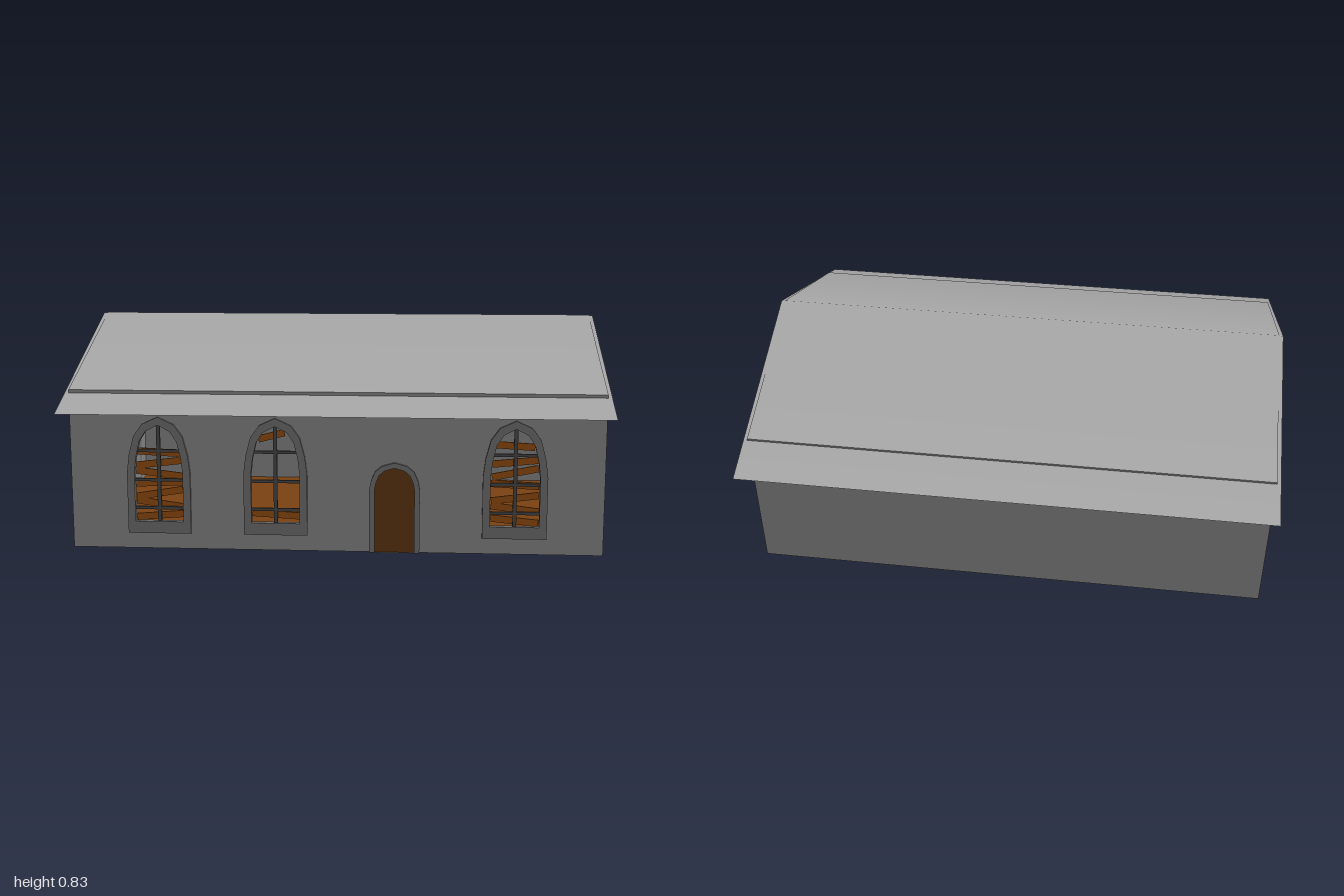
import * as THREE from 'three';

const paint = color => new THREE.MeshStandardMaterial({ color, side: THREE.DoubleSide });
const wallStone = paint(0x828282);
const roofSlate = paint(0xaaaaaa);
const frameStone = paint(0x6c6c6c);
const barMetal = paint(0x444444);
const plankWood = paint(0x8e4b10);
const floorWood = paint(0x7d4213);
const doorWood = paint(0x5b3410);

const WX = 0.985, ZF = 0.61, ZB = -0.6, RIDGE_Z = 0.005, RIDGE_Y = 0.83, EAVE_Y = 0.598;

function add(parent, name, geometry, material, x = 0, y = 0, z = 0) {
  const mesh = new THREE.Mesh(geometry, material);
  mesh.name = name;
  mesh.position.set(x, y, z);
  parent.add(mesh);
  return mesh;
}

// Points of a pointed arch opening
function archPoints(half, bottom, spring, top, cx = 0) {
  const curve = [[1, 0], [0.93, 0.32], [0.77, 0.66], [0.5, 0.87]];
  const at = ([u, v], s) => new THREE.Vector2(cx + s * u * half, spring + v * (top - spring));
  return [
    new THREE.Vector2(cx - half, bottom), new THREE.Vector2(cx + half, bottom),
    ...curve.map(p => at(p, 1)), new THREE.Vector2(cx, top),
    ...curve.slice().reverse().map(p => at(p, -1)),
  ];
}

function frameGeometry(outer, inner, depth) {
  const shape = new THREE.Shape(outer);
  shape.holes.push(new THREE.Path(inner));
  return new THREE.ExtrudeGeometry(shape, { depth, bevelEnabled: false });
}

// Two slopes meeting at the ridge, shaded smoothly across it
function slopes(halfX, ridgeY, eaveY, zBack, zFront) {
  const position = [], normal = [];
  const tilt = (ridgeY - eaveY) / (zFront - RIDGE_Z);
  for (const [y, z, nz] of [[eaveY, zBack, -tilt], [ridgeY, RIDGE_Z, 0], [eaveY, zFront, tilt]]) {
    const n = new THREE.Vector3(0, 1, nz).normalize();
    for (const x of [-halfX, halfX]) {
      position.push(x, y, z);
      normal.push(n.x, n.y, n.z);
    }
  }
  const g = new THREE.BufferGeometry();
  g.setAttribute('position', new THREE.Float32BufferAttribute(position, 3));
  g.setAttribute('normal', new THREE.Float32BufferAttribute(normal, 3));
  g.setIndex([0, 2, 1, 1, 2, 3, 2, 4, 3, 3, 4, 5]);
  return g;
}

// Arched window with bars; planks are [y, tilt, x offset, length]
function makeWindow(x, planks) {
  const group = new THREE.Group();
  group.name = 'window';
  group.position.set(x, 0, ZF);
  add(group, 'windowFrame', frameGeometry(
    archPoints(0.118, 0.06, 0.29, 0.5), archPoints(0.09, 0.105, 0.29, 0.47), 0.023), frameStone, 0, 0, -0.013);
  add(group, 'verticalBar', new THREE.BoxGeometry(0.014, 0.365, 0.008), barMetal, 0, 0.287, -0.002);
  for (const y of [0.155, 0.262, 0.372])
    add(group, 'crossBar', new THREE.BoxGeometry(y > 0.3 ? 0.16 : 0.18, 0.011, 0.008), barMetal, 0, y, -0.002);
  for (const [y, tilt, dx, length] of planks) {
    const plank = add(group, 'plank', new THREE.BoxGeometry(length, 0.026, 0.006), plankWood, dx, y, -0.01);
    plank.rotation.z = tilt;
  }
  return group;
}

// Arched door with its frame, facing +z
function makeDoor(half, spring, top, rim, leaves) {
  const group = new THREE.Group();
  group.name = 'door';
  const inner = archPoints(half - rim, 0, spring, top - rim);
  add(group, 'doorFrame', frameGeometry(
    archPoints(half, 0, spring, top), archPoints(half - rim, 0.001, spring, top - rim), 0.011), frameStone);
  add(group, 'doorPanel', new THREE.ShapeGeometry(new THREE.Shape(inner)), doorWood, 0, 0, 0.004);
  if (leaves > 1)
    add(group, 'doorSeam', new THREE.BoxGeometry(0.006, top - rim - 0.01, 0.004), barMetal, 0, (top - rim - 0.01) / 2, 0.004);
  return group;
}

export function createModel() {
  const model = new THREE.Group();
  const windowX = [-0.655, -0.22, 0.66];

  // Walls
  const front = new THREE.Shape([[-WX, 0], [WX, 0], [WX, EAVE_Y], [-WX, EAVE_Y]].map(p => new THREE.Vector2(...p)));
  windowX.forEach(x => front.holes.push(new THREE.Path(archPoints(0.095, 0.1, 0.29, 0.475, x))));
  add(model, 'frontWall', new THREE.ShapeGeometry(front), wallStone, 0, 0, ZF);
  const back = add(model, 'backWall', new THREE.PlaneGeometry(WX * 2, EAVE_Y), wallStone, 0, EAVE_Y / 2, ZB);
  back.rotation.y = Math.PI;
  for (const s of [-1, 1]) {
    const gable = new THREE.Shape([
      [ZF, 0], [ZB, 0], [ZB, EAVE_Y], [RIDGE_Z, RIDGE_Y], [ZF, EAVE_Y],
    ].map(([z, y]) => new THREE.Vector2(-s * z, y)));
    const wall = add(model, 'endWall', new THREE.ShapeGeometry(gable), wallStone, s * WX);
    wall.rotation.y = s * Math.PI / 2;
  }
  const floor = add(model, 'floor', new THREE.PlaneGeometry(WX * 2, ZF - ZB), floorWood, 0, 0.002, (ZF + ZB) / 2);
  floor.rotation.x = -Math.PI / 2;

  // Roof: upper slopes over the walls, thin covering with eaves below
  add(model, 'upperRoof', slopes(WX, RIDGE_Y, EAVE_Y, ZB, ZF), roofSlate);
  add(model, 'roof', slopes(1, RIDGE_Y - 0.002, 0.53, -0.755, 0.75), roofSlate);

  // Rafter ends under both eaves
  for (let i = 0; i < 24; i++) {
    const x = -0.955 + i * 1.91 / 23;
    for (const z of [ZB, ZF]) add(model, 'rafterEnd', new THREE.BoxGeometry(0.05, 0.009, 0.01), doorWood, x, 0.567, z);
  }
  // Edge rafter on the right gable
  const rafter = add(model, 'edgeRafter', new THREE.BoxGeometry(0.012, 0.009, 0.36), plankWood, -0.991, 0.643, 0.44);
  rafter.rotation.x = Math.atan2(0.3, 0.75);

  // Boarded windows
  const boards = [
    [[0.365, -0.05, 0, 0.165], [0.325, 0.12, 0, 0.172], [0.285, -0.12, 0, 0.175], [0.25, 0.04, 0, 0.175],
      [0.21, 0.16, 0, 0.175], [0.17, -0.14, 0, 0.175], [0.125, 0.08, 0, 0.175]],
    [[0.432, 0.25, -0.015, 0.1], [0.135, -0.06, 0, 0.175]],
    [[0.405, -0.06, 0, 0.14], [0.345, 0.1, 0, 0.168], [0.305, 0.2, 0, 0.172], [0.26, -0.05, 0, 0.175],
      [0.21, 0.13, 0, 0.175], [0.17, -0.12, 0, 0.175], [0.125, -0.1, 0, 0.175]],
  ];
  windowX.forEach((x, i) => model.add(makeWindow(x, boards[i])));

  // Small front door and wide double door in the right end
  const frontDoor = makeDoor(0.093, 0.24, 0.34, 0.02, 1);
  frontDoor.position.set(0.22, 0, ZF);
  const sideDoor = makeDoor(0.175, 0.3, 0.42, 0.035, 2);
  sideDoor.position.set(-WX, 0, -0.345);
  sideDoor.rotation.y = -Math.PI / 2;
  model.add(frontDoor, sideDoor);

  return model;
}
